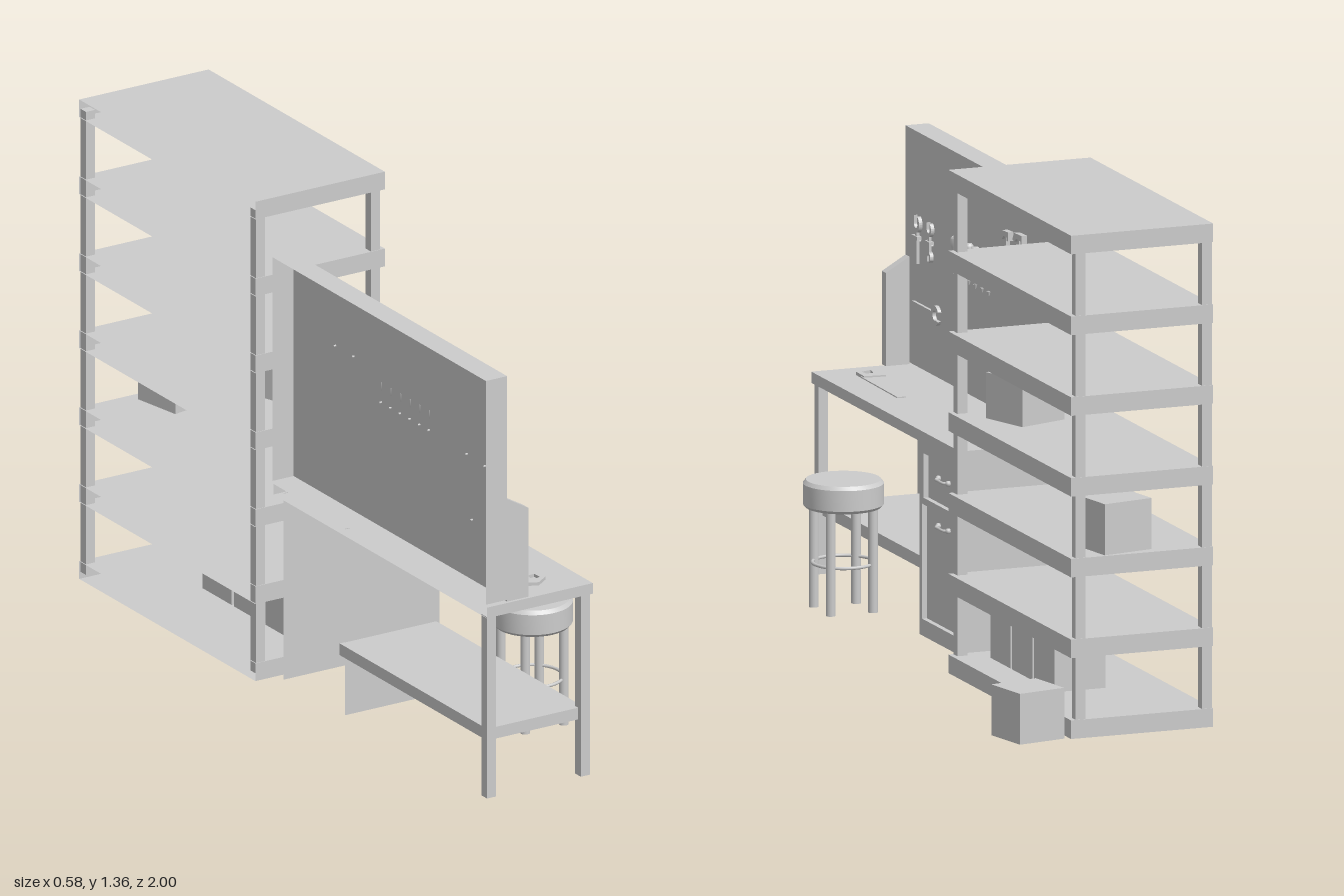
import * as THREE from 'three';
import { toCreasedNormals } from 'three/addons/utils/BufferGeometryUtils.js';

const mat = new THREE.MeshStandardMaterial({ color: 0xcccccc, side: THREE.DoubleSide });

function add(parent, name, geo, x = 0, y = 0, z = 0) {
  const m = new THREE.Mesh(geo, mat);
  m.name = name;
  m.position.set(x, y, z);
  parent.add(m);
  return m;
}

function group(parent, name, x = 0, y = 0, z = 0) {
  const g = new THREE.Group();
  g.name = name;
  g.position.set(x, y, z);
  parent.add(g);
  return g;
}

// Box given by its limits; skip lists faces left open (0 +x, 1 -x, 2 +y, 3 -y, 4 +z, 5 -z)
function box(parent, name, x0, x1, y0, y1, z0, z1, skip = []) {
  const geo = new THREE.BoxGeometry(x1 - x0, y1 - y0, z1 - z0);
  geo.setIndex([...geo.index.array].filter((v, i) => !skip.includes(Math.floor(i / 6))));
  geo.clearGroups();
  return add(parent, name, geo, (x0 + x1) / 2, (y0 + y1) / 2, (z0 + z1) / 2);
}

const poly = pts => new THREE.Shape(pts.map(p => new THREE.Vector2(...p)));
const extrude = (shape, depth) =>
  new THREE.ExtrudeGeometry(shape, { depth, bevelEnabled: false, curveSegments: 10 });

// Tall open shelving with hollow boards
function buildShelving(root) {
  const g = group(root, 'shelving');
  for (let i = 0; i < 7; i++) {
    const y = i * 0.2177;
    box(g, 'shelfBoard', -0.293, 0.11, y, y + 0.05, -0.985, -0.118, [1]);
  }
  for (const x of [-0.29, 0.068])
    for (const z of [-0.983, -0.147])
      box(g, 'shelfPost', x, x + 0.028, 0.02, 1.33, z, z + 0.027);
}

// Storage boxes: x, base y, z, side, height, turn
function buildBoxes(root) {
  const list = [
    [0.206, 0, -0.918, 0.139, 0.137, 0.19],
    [-0.048, 0.703, -0.268, 0.146, 0.124, 0.33],
    [-0.047, 0.485, -0.893, 0.145, 0.138, 0.18],
    ...[-0.267, -0.422, -0.577].map(z => [-0.05, 0.05, z, 0.144, 0.135, 0]),
  ];
  for (const [x, y, z, s, h, turn] of list)
    add(root, 'storageBox', new THREE.BoxGeometry(s, h, s), x, y + h / 2, z).rotation.y = turn;
}

// Workbench with cabinet, low shelf and tool board
function buildBench(root) {
  const g = group(root, 'workbench');
  box(g, 'benchTop', -0.28, 0.05, 0.548, 0.578, -0.05, 1, [1]);
  box(g, 'lowShelf', -0.27, 0.03, 0.195, 0.228, 0.26, 0.985);
  for (const x of [-0.278, 0.014]) box(g, 'benchLeg', x, x + 0.028, 0.037, 0.55, 0.97, 0.998);

  // Cabinet: open behind and below
  box(g, 'cabinetBody', -0.255, 0.026, 0.022, 0.55, -0.04, 0.262, [1, 2, 3]);
  const front = poly([[-0.262, 0.022], [0.04, 0.022], [0.04, 0.55], [-0.262, 0.55]]);
  for (const [a, b, c, d] of [[-0.232, 0.003, 0.395, 0.515], [-0.243, 0.02, 0.067, 0.377]])
    front.holes.push(poly([[a, c], [a, d], [b, d], [b, c]]));
  add(g, 'cabinetFrontFrame', extrude(front, 0.014), 0.026).rotation.y = Math.PI / 2;
  for (const y of [0.463, 0.335]) {
    const path = new THREE.CatmullRomCurve3(
      [[0.026, 0.15], [0.042, 0.14], [0.043, 0.115], [0.042, 0.09], [0.026, 0.08]]
        .map(([x, z]) => new THREE.Vector3(x, y, z)));
    add(g, 'cabinetHandle', new THREE.TubeGeometry(path, 16, 0.004, 8));
    for (const z of [0.15, 0.08])
      add(g, 'handleFoot', new THREE.SphereGeometry(0.008, 10, 8), 0.031, y, z);
  }

  // Tool board, hollow behind, with a sloped bracket at each end
  box(g, 'toolBoard', -0.283, -0.217, 0.587, 1.22, -0.05, 1, [1]);
  const bracket = poly([[-0.217, 0.582], [-0.15, 0.582], [-0.15, 0.833], [-0.217, 0.872]]);
  for (const z of [-0.05, 0.972]) add(g, 'boardBracket', extrude(bracket, 0.028), 0, 0, z);
}

// Open jaw of a wrench, mouth pointing to +y
function jaw(r) {
  const s = new THREE.Shape();
  s.absarc(0, 0, r, Math.PI / 2 + 0.5, Math.PI / 2 - 0.5 + Math.PI * 2, false);
  s.lineTo(r * 0.45, 0);
  s.absarc(0, 0, r * 0.5, 0, -Math.PI, true);
  return extrude(s, 0.01);
}

// Tools are drawn upright, facing local +z, then turned to face the room
function buildTools(root) {
  const board = group(root, 'hangingTools', -0.213, 0, 0);
  board.rotation.y = Math.PI / 2;
  const tool = (name, z, y) => {
    const t = group(board, name, -z, y, 0);
    const peg = add(t, 'peg', new THREE.CylinderGeometry(0.003, 0.003, 0.018, 6), 0, 0, -0.002);
    peg.rotation.x = Math.PI / 2;
    return t;
  };

  const w1 = tool('adjustableWrench', 0.893, 0.93);
  add(w1, 'jaw', jaw(0.024), 0, 0.048, 0);
  box(w1, 'collar', -0.018, 0.018, 0.006, 0.016, 0, 0.014);
  box(w1, 'handle', -0.006, 0.006, -0.06, 0.028, 0.002, 0.01);

  const w2 = tool('doubleWrench', 0.805, 0.935);
  add(w2, 'jaw', jaw(0.02), 0, 0.045, 0);
  add(w2, 'jaw', jaw(0.015), 0, -0.03, 0).rotation.z = Math.PI;
  box(w2, 'handle', -0.005, 0.005, -0.02, 0.03, 0.002, 0.01);
  box(w2, 'collar', -0.016, 0.016, 0.006, 0.014, 0, 0.014);

  const w3 = tool('longWrench', 0.83, 0.757);
  w3.rotation.z = -Math.PI / 2;
  add(w3, 'jaw', jaw(0.027), 0, 0.07, 0);
  box(w3, 'handle', -0.008, 0.008, -0.09, 0.05, 0.002, 0.01);

  const grip = [[0, 0], [0.007, 0], [0.008, 0.02], [0.013, 0.035], [0.013, 0.055], [0.009, 0.06], [0, 0.06]]
    .map(p => new THREE.Vector2(...p));
  for (let i = 0; i < 6; i++) {
    const s = tool('screwdriver', 0.618 - i * 0.0472, 0.94);
    add(s, 'grip', toCreasedNormals(new THREE.LatheGeometry(grip, 10), 0.7), 0, 0, 0.008);
    add(s, 'shaft', new THREE.CylinderGeometry(0.004, 0.004, 0.045, 8), 0, -0.022, 0.008);
    add(s, 'tip', new THREE.CylinderGeometry(0.006, 0.002, 0.012, 8), 0, -0.046, 0.008);
    box(s, 'holder', -0.014, 0.014, -0.004, 0.003, 0, 0.017);
  }

  for (const [z, top, bottom, w] of [[0.248, 1.09, 0.945, 0.024], [0.157, 1.1, 0.915, 0.03]]) {
    const h = tool('hammer', z, 1.025);
    const t = top - 1.025;
    box(h, 'handle', -0.005, 0.005, bottom - 1.025, t, 0.004, 0.014);
    const head = poly([[-w - 0.006, t - 0.02], [-w + 0.006, t - 0.024], [-0.008, t - 0.014],
      [w - 0.008, t - 0.014], [w - 0.008, t - 0.022], [w, t - 0.022], [w, t + 0.002], [-w + 0.006, t]]);
    add(h, 'head', extrude(head, 0.016), 0, 0, 0.001);
    box(h, 'holder', -0.015, 0.015, -0.005, 0.003, 0, 0.017);
  }

  // Hand saw lying on the bench; outline runs away from the grip
  const saw = group(root, 'handSaw', -0.08, 0.579, 0.94);
  saw.rotation.set(-Math.PI / 2, 0, -0.1);
  const blade = poly([[-0.035, 0.07], [0.035, 0.07], [0.012, 0.34], [-0.012, 0.34]]);
  add(saw, 'blade', extrude(blade, 0.003), 0, 0, 0.002);
  const handle = poly([[-0.03, 0.01], [0, 0], [0.035, 0.03], [0.03, 0.09], [-0.03, 0.09], [-0.02, 0.05]]);
  handle.holes.push(poly([[-0.008, 0.02], [-0.005, 0.055], [0.016, 0.06], [0.02, 0.035]]));
  add(saw, 'handle', extrude(handle, 0.009));
}

// Round stool with a foot ring
function buildStool(root) {
  const g = group(root, 'stool', 0.128, 0, 0.579);
  const profile = [[0, 0.308], [0.1, 0.308], [0.107, 0.316], [0.107, 0.372], [0.099, 0.382], [0, 0.382]]
    .map(p => new THREE.Vector2(...p));
  add(g, 'seat', toCreasedNormals(new THREE.LatheGeometry(profile, 40), 0.5));
  for (const x of [-0.06, 0.06])
    for (const z of [-0.06, 0.06])
      add(g, 'stoolLeg', new THREE.CylinderGeometry(0.013, 0.013, 0.28, 14), x, 0.17, z);
  add(g, 'footRing', new THREE.TorusGeometry(0.082, 0.0045, 8, 40), 0, 0.158, 0).rotation.x = Math.PI / 2;
}

export function createModel() {
  const root = new THREE.Group();
  root.name = 'workshop';
  buildShelving(root);
  buildBoxes(root);
  buildBench(root);
  buildTools(root);
  buildStool(root);
  return root;
}
